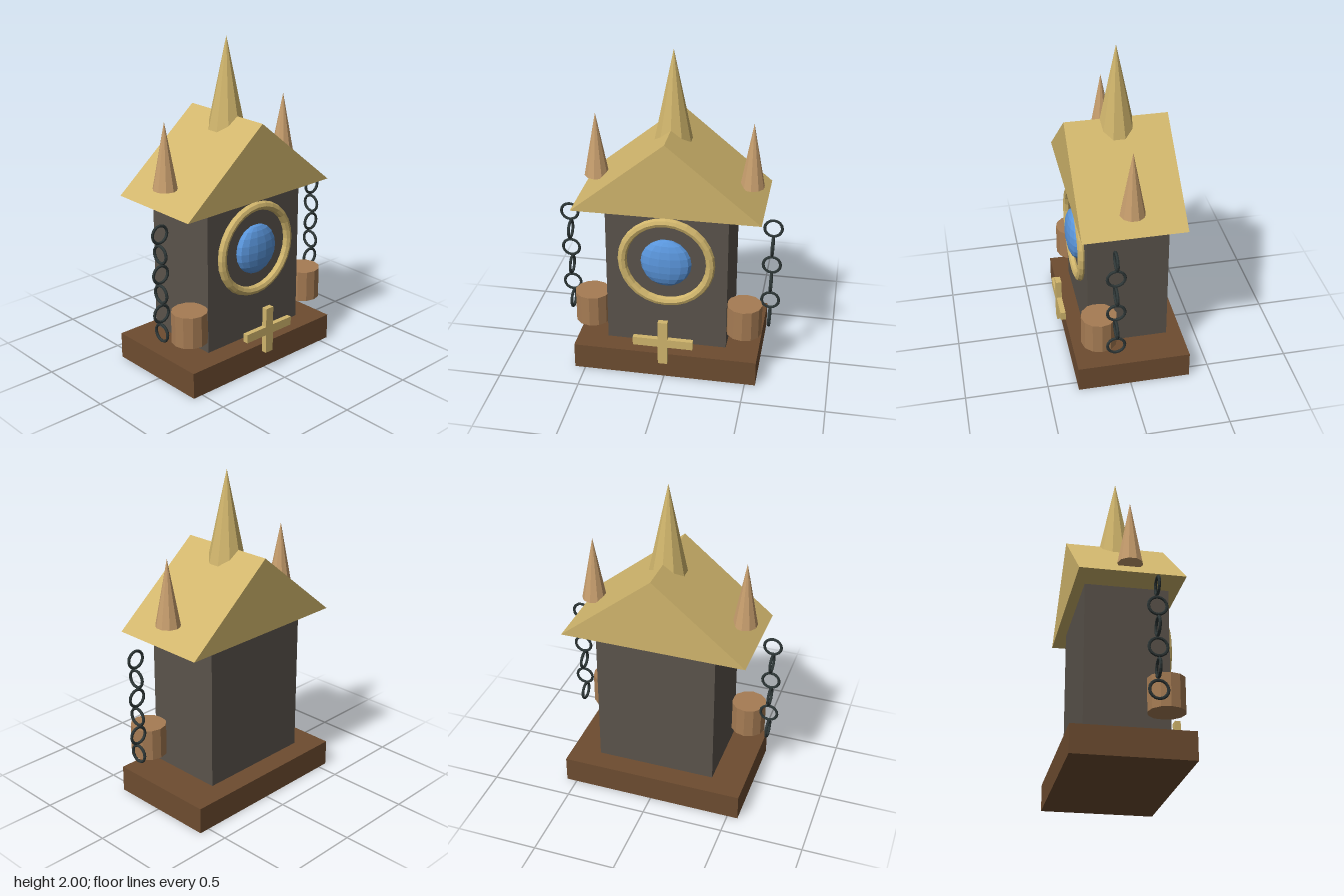
import * as THREE from 'three';

const mat = (name, color) => {
  const m = new THREE.MeshStandardMaterial({ color, flatShading: true });
  m.name = name;
  return m;
};

export function createModel() {
  const gold = mat('gold', 0xd0b56c);
  const tan = mat('tan', 0xc89f6e);
  const copper = mat('copper', 0xa67c54);
  const wood = mat('wood', 0x6d4c30);
  const stone = mat('stone', 0x5a534b);
  const iron = mat('iron', 0x2d3636);
  const blue = mat('blue glass', 0x5a96dc);

  const model = new THREE.Group();
  model.name = 'shrine';
  const Z = -0.02; // middle depth of the building

  const add = (name, geometry, material, x, y, z, parent = model) => {
    const mesh = new THREE.Mesh(geometry, material);
    mesh.name = name;
    mesh.position.set(x, y, z);
    parent.add(mesh);
    return mesh;
  };

  // Plinth and body, with a narrow gap between them
  add('base', new THREE.BoxGeometry(1.13, 0.155, 0.686), wood, 0, 0.0815, -0.023).scale.y = 1.05;
  add('body', new THREE.BoxGeometry(0.736, 0.89, 0.49), stone, 0, 0.635, Z);

  // Gabled roof, ridge running front to back
  const gable = new THREE.Shape([
    new THREE.Vector2(-0.562, 1.08),
    new THREE.Vector2(0.562, 1.08),
    new THREE.Vector2(0, 1.54),
  ]);
  add('roof', new THREE.ExtrudeGeometry(gable, { depth: 0.612, bevelEnabled: false }), gold, 0, 0, -0.327);

  // Central spire, its foot sunk into the ridge
  add('centralSpire', new THREE.ConeGeometry(0.124, 0.6, 10), gold, 0, 1.7, Z);

  // Round window: ring and domed glass
  add('windowRing', new THREE.TorusGeometry(0.267, 0.028, 8, 28), gold, 0, 0.76, 0.235);
  add('windowGlass', new THREE.SphereGeometry(0.154, 14, 10), blue, 0, 0.76, 0.238).scale.z = 0.36;

  // Cross standing in front of the base
  const cross = new THREE.Group();
  cross.name = 'cross';
  model.add(cross);
  add('crossUpright', new THREE.BoxGeometry(0.058, 0.292, 0.034), gold, 0, 0.268, 0.348, cross);
  add('crossBar', new THREE.BoxGeometry(0.366, 0.054, 0.032), gold, 0, 0.268, 0.348, cross);

  // Mirrored side parts
  const link = new THREE.TorusGeometry(0.052, 0.009, 6, 16);
  for (const [side, s] of [['left', 1], ['right', -1]]) {
    add(side + 'Spire', new THREE.ConeGeometry(0.075, 0.4, 10), tan, s * 0.47, 1.38, Z);
    add(side + 'Drum', new THREE.CylinderGeometry(0.108, 0.108, 0.195, 12), copper, s * 0.47, 0.3875, 0.177);

    // Chain of links, each turned a quarter from the last
    const chain = new THREE.Group();
    chain.name = side + 'Chain';
    model.add(chain);
    for (let i = 0; i < 6; i++) {
      const ring = add('link', link, iron, s * 0.616, 0.978 - i * 0.1228, 0.102, chain);
      ring.rotation.y = (i % 2) * Math.PI / 2;
    }
  }
  return model;
}
